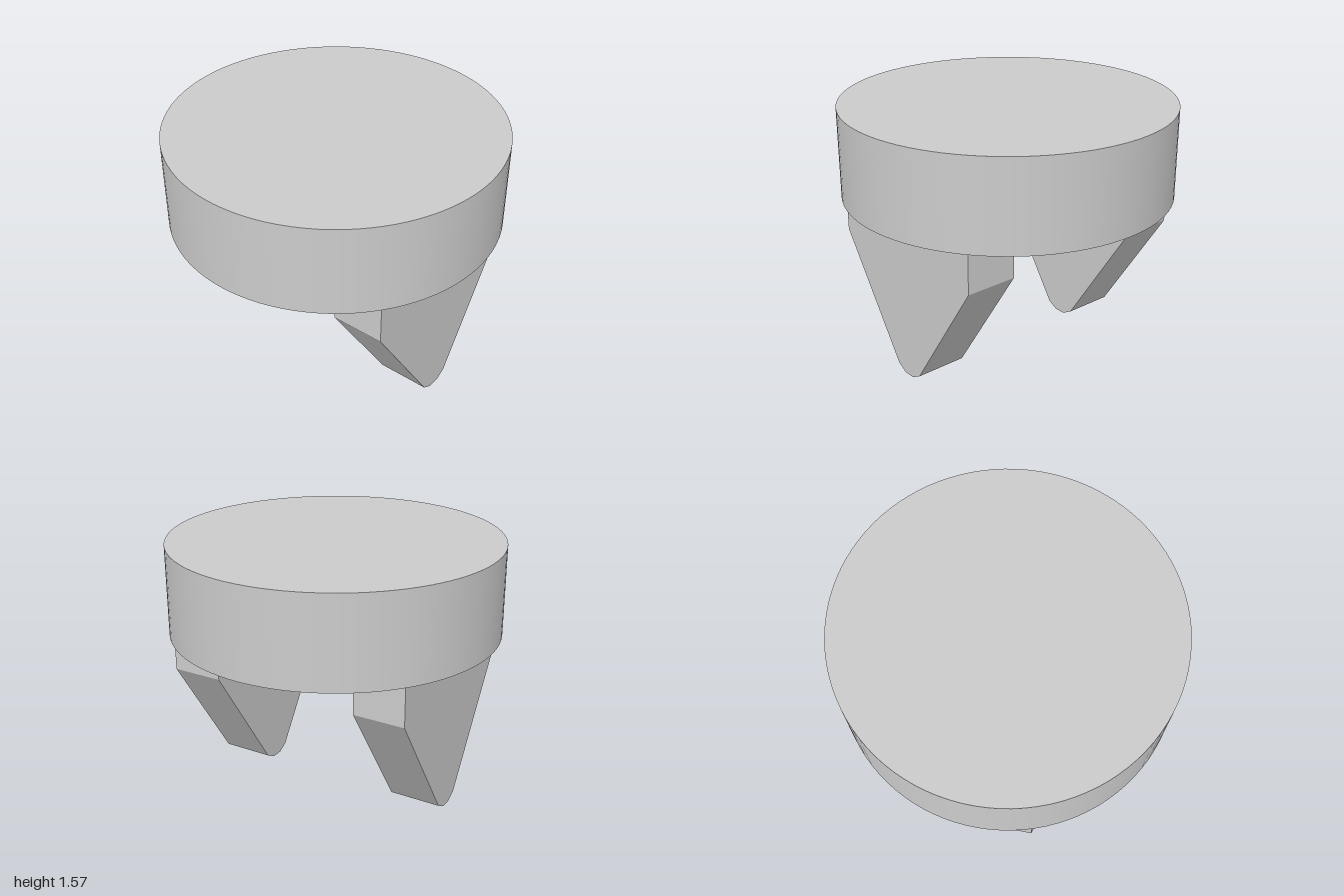
import * as THREE from 'three';

const material = new THREE.MeshStandardMaterial({ color: 0xcccccc });

export function createModel() {
  const group = new THREE.Group();
  const discBottom = 1.015, discTop = 1.565;

  // Round head
  const disc = new THREE.Mesh(
    new THREE.CylinderGeometry(1, 1, discTop - discBottom, 96), material);
  disc.name = 'disc';
  disc.position.y = (discBottom + discTop) / 2;
  group.add(disc);

  // Tapered prong outline: right half from the top down, then mirrored
  const half = [[0.585, discBottom], [0.585, 0.765], [0.103, 0.037], [0.037, 0]];
  const outline = [...half, ...half.map(([x, y]) => [-x, y]).reverse()];
  const shape = new THREE.Shape(outline.map(([x, y]) => new THREE.Vector2(x, y)));
  const inner = 0.46, outer = 0.78;
  const prongGeometry = new THREE.ExtrudeGeometry(shape, { depth: outer - inner, bevelEnabled: false });
  prongGeometry.translate(0, 0, inner);

  // Front prong and its half-turn copy at the back
  ['frontProng', 'backProng'].forEach((name, i) => {
    const prong = new THREE.Mesh(prongGeometry, material);
    prong.name = name;
    prong.rotation.y = i * Math.PI;
    group.add(prong);
  });

  return group;
}
